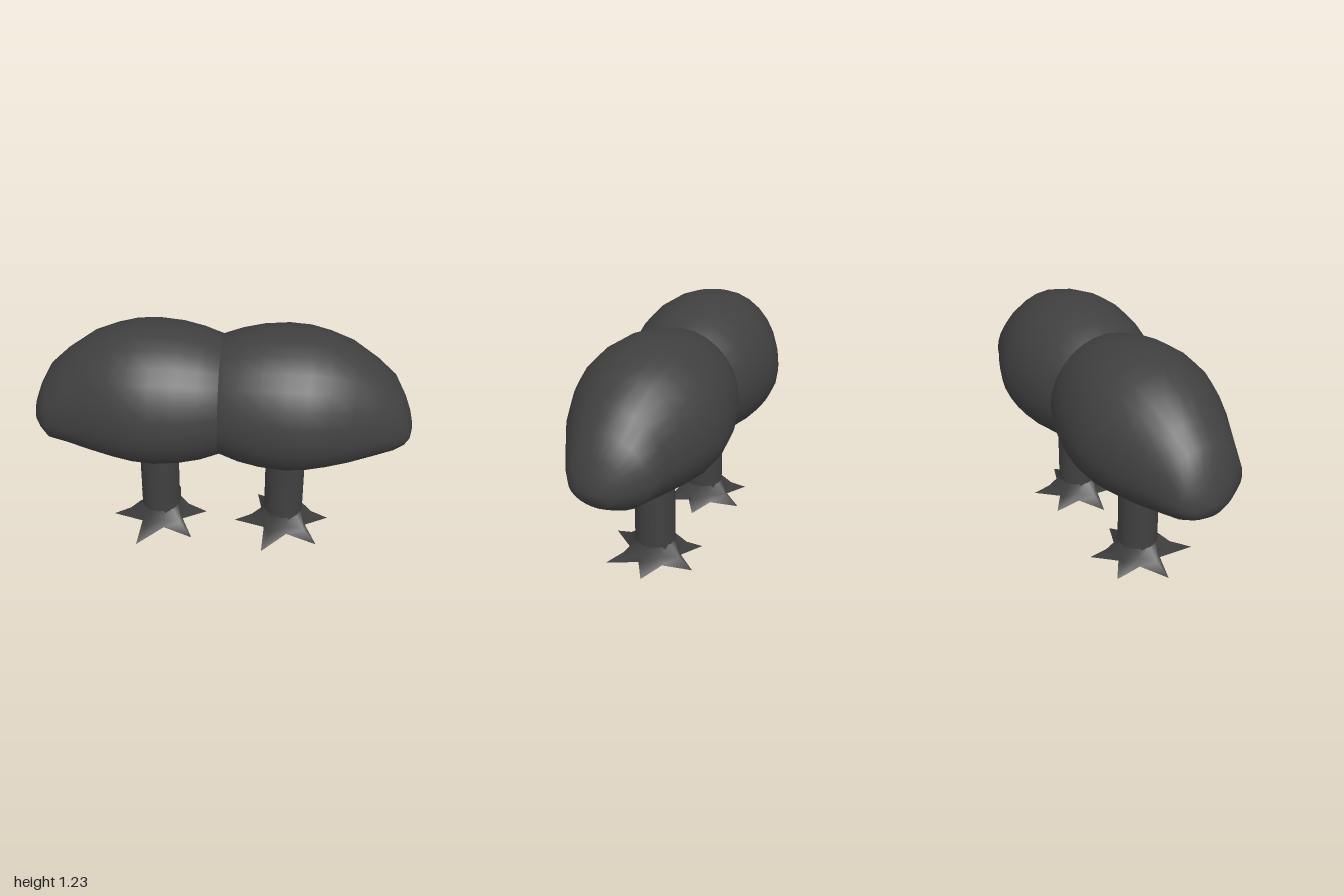
import * as THREE from 'three';

const material = new THREE.MeshStandardMaterial({ color: 0x404040 });

// Skins a series of closed rings (arrays of [x, y, z]) with smooth normals
function loft(rings) {
  const n = rings[0].length, index = [];
  for (let r = 0; r < rings.length - 1; r++) {
    for (let i = 0; i < n; i++) {
      const a = r * n + i, b = r * n + (i + 1) % n;
      index.push(a, a + n, b, b, a + n, b + n);
    }
  }
  const geo = new THREE.BufferGeometry();
  geo.setAttribute('position', new THREE.Float32BufferAttribute(rings.flat(2), 3));
  geo.setIndex(index);
  geo.computeVertexNormals();
  return geo;
}

function add(parent, name, geo) {
  const mesh = new THREE.Mesh(geo, material);
  mesh.name = name;
  parent.add(mesh);
  return mesh;
}

// Canopy sections along x: [x, widest height, top, bottom, half width back, half width front]
const SECTIONS = [
  [-0.12, 0.82, 1.09, 0.59, 0.26, 0.26],
  [0.00, 0.82, 1.16, 0.54, 0.325, 0.325],
  [0.10, 0.815, 1.195, 0.505, 0.36, 0.36],
  [0.21, 0.81, 1.22, 0.485, 0.385, 0.385],
  [0.34, 0.81, 1.23, 0.475, 0.40, 0.40],
  [0.45, 0.805, 1.223, 0.485, 0.393, 0.393],
  [0.55, 0.80, 1.2, 0.50, 0.365, 0.365],
  [0.67, 0.785, 1.157, 0.525, 0.32, 0.32],
  [0.80, 0.765, 1.065, 0.555, 0.265, 0.25],
  [0.90, 0.74, 0.97, 0.582, 0.23, 0.195],
  [0.955, 0.72, 0.865, 0.615, 0.15, 0.155],
  [0.985, 0.705, 0.785, 0.64, 0.09, 0.10],
  [1.00, 0.70, 0.72, 0.68, 0.03, 0.03],
  [1.00, 0.70, 0.70, 0.70, 0, 0],
];

function canopyGeometry(segments = 28) {
  return loft(SECTIONS.map(([x, mid, top, bottom, back, front]) =>
    Array.from({ length: segments }, (_, i) => {
      const a = (i / segments) * Math.PI * 2;
      const c = Math.cos(a), s = -Math.sin(a);
      return [x, mid + c * (c > 0 ? top - mid : mid - bottom), s * (s > 0 ? front : back)];
    })));
}

// Root tips on the ground, [x, z] from the trunk axis
const TIPS = [[0.255, -0.03], [0.19, 0.2], [-0.11, 0.28], [-0.272, 0.03], [-0.15, -0.21], [0.08, -0.245]];

// Star outline: ridges follow the tips, valleys lie midway between them
function starRing(y, spread, valley, trunk = 0.107) {
  return TIPS.flatMap(([x, z], i) => {
    const [nx, nz] = TIPS[(i + 1) % TIPS.length];
    const len = Math.hypot(x, z);
    const r = trunk + (len - trunk) * spread;
    const ux = x / len, uz = z / len, nl = Math.hypot(nx, nz);
    const mid = new THREE.Vector2(ux + nx / nl, uz + nz / nl).setLength(valley);
    return [[ux * r, y, uz * r], [mid.x, y, mid.y]];
  });
}

function createTree(side) {
  const tree = new THREE.Group();
  tree.name = side > 0 ? 'leftTree' : 'rightTree';

  // Canopy, turned half round for the opposite tree
  const canopy = add(tree, 'canopy', canopyGeometry());
  if (side < 0) canopy.rotation.y = Math.PI;

  const base = new THREE.Group();
  base.name = 'base';
  base.position.x = 0.347 * side;
  tree.add(base);

  // Trunk
  const trunk = add(base, 'trunk', new THREE.CylinderGeometry(0.107, 0.107, 0.5, 20, 1, true));
  trunk.position.y = 0.33;

  // Flared roots and their flat underside
  const ground = starRing(0, 1, 0.13);
  add(base, 'roots', loft([ground, starRing(0.042, 0.42, 0.115), starRing(0.1, 0.02, 0.107)]));
  const outline = new THREE.Shape(ground.map(([x, , z]) => new THREE.Vector2(x, z)));
  add(base, 'rootUnderside', new THREE.ShapeGeometry(outline).rotateX(Math.PI / 2));
  return tree;
}

export function createModel() {
  const model = new THREE.Group();
  model.name = 'twinTrees';
  for (const side of [-1, 1]) model.add(createTree(side));
  return model;
}
